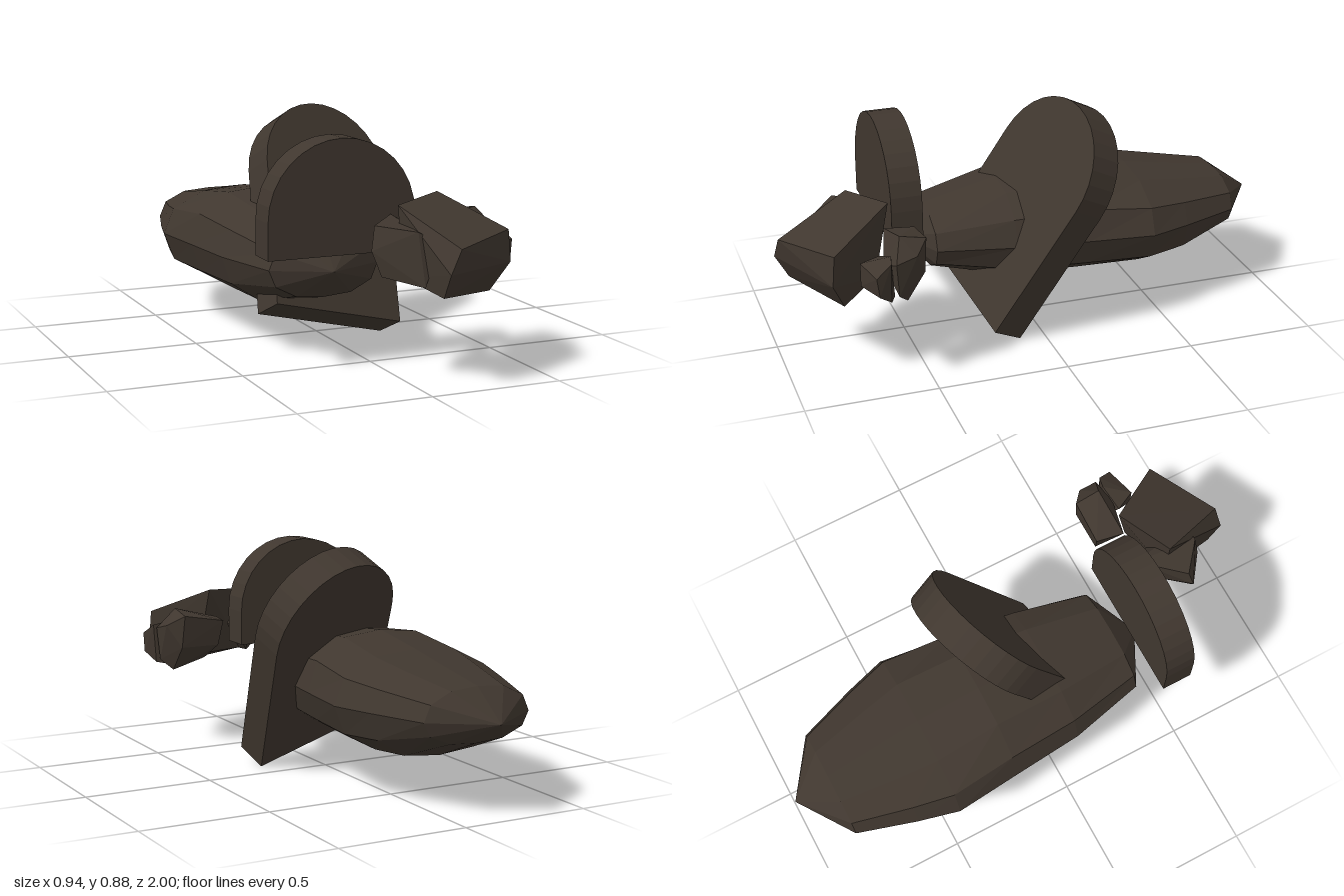
import * as THREE from 'three';
import { ConvexGeometry } from 'three/addons/geometries/ConvexGeometry.js';

const stone = new THREE.MeshStandardMaterial({ color: 0x40372f });
stone.name = 'dark brown stone';

function part(name, geometry) {
  const flat = geometry.index ? geometry.toNonIndexed() : geometry;
  flat.computeVertexNormals();
  const mesh = new THREE.Mesh(flat, stone);
  mesh.name = name;
  return mesh;
}

// Round-topped slab: bottom centre of the front face at the origin
function slabGeometry(radius, straight, depth) {
  const s = new THREE.Shape();
  s.moveTo(-radius, 0);
  s.lineTo(radius, 0);
  s.lineTo(radius, straight);
  s.absarc(0, straight, radius, 0, Math.PI, false);
  s.closePath();
  return new THREE.ExtrudeGeometry(s, { depth, bevelEnabled: false, curveSegments: 8 })
    .translate(0, 0, -depth);
}

// Long faceted mound lofted through cross-sections along z
function moundGeometry() {
  const midY = 0.345;
  // z, min x, max x, top y, bottom y
  const sections = [
    [0.49, -0.14, -0.14, midY, midY],
    [0.38, -0.35, 0.085, 0.46, 0.23],
    [0.08, -0.42, 0.15, 0.53, 0.155],
    [-0.2, -0.445, 0.185, 0.56, 0.15],
    [-0.46, -0.47, 0.215, 0.525, 0.15],
    [-0.62, -0.43, 0.165, 0.495, 0.158],
    [-0.85, -0.36, 0.08, 0.455, 0.25],
    [-1, -0.14, -0.14, midY, midY],
  ];
  const ring = [[1, 0], [0.88, 0.55], [0.5, 0.92], [0, 1], [-0.5, 0.92], [-0.88, 0.55],
    [-1, 0], [-0.88, -0.55], [-0.5, -0.92], [0, -1], [0.5, -0.92], [0.88, -0.55]];
  const n = ring.length, pos = [], idx = [];
  sections.forEach(([z, x0, x1, top, bottom], i) => {
    ring.forEach(([rx, ry], j) => {
      pos.push((x0 + x1) / 2 + rx * (x1 - x0) / 2,
        midY + ry * (ry > 0 ? top - midY : midY - bottom), z);
      if (i === sections.length - 1) return;
      const a = i * n + j, b = i * n + (j + 1) % n;
      idx.push(a, a + n, b + n, a, b + n, b);
    });
  });
  const g = new THREE.BufferGeometry();
  g.setAttribute('position', new THREE.Float32BufferAttribute(pos, 3));
  g.setIndex(idx);
  return g;
}

// Rough rock chunk from its corner points
function rock(name, corners) {
  return part(name, new ConvexGeometry(corners.map((c) => new THREE.Vector3(...c))));
}

export function createModel() {
  const model = new THREE.Group();
  model.name = 'graveStones';

  model.add(part('mound', moundGeometry()));

  // Upright half-round stone
  const upright = part('uprightStone', slabGeometry(0.285, 0.135, 0.12));
  upright.position.set(-0.143, 0.422, 0.57);
  model.add(upright);

  // Tilted slab leaning back through the mound
  const leaning = part('leaningStone', slabGeometry(0.2875, 0.58, 0.13));
  const across = new THREE.Vector3(0.55, -0.14, -0.09).normalize();
  const up = new THREE.Vector3(0.03, 0.06, 0.11).cross(across).normalize();
  const out = across.clone().cross(up);
  leaning.setRotationFromMatrix(new THREE.Matrix4().makeBasis(across, up, out));
  leaning.position.set(-0.01, 0.13, 0.255);
  model.add(leaning);

  // Broken rocks in front
  const rocks = new THREE.Group();
  rocks.name = 'rocks';
  rocks.add(
    rock('largeRock', [
      [0.005, 0.615, 0.71], [0.215, 0.635, 0.6], [0.295, 0.555, 0.76], [0.065, 0.54, 0.86],
      [0.11, 0.5, 0.99], [0.375, 0.525, 0.84], [0.38, 0.41, 0.85], [0.065, 0.415, 1],
      [0.325, 0.3, 0.8], [0.065, 0.325, 0.95], [0.24, 0.36, 0.66], [0.02, 0.36, 0.72],
    ]),
    rock('largeRockLobe', [
      [-0.12, 0.47, 0.76], [-0.1, 0.555, 0.74], [0.04, 0.56, 0.58], [-0.09, 0.38, 0.78],
      [0.03, 0.35, 0.88], [0.02, 0.54, 0.84], [0.1, 0.47, 0.61], [0.1, 0.5, 0.85],
      [0.02, 0.36, 0.66],
    ]),
    rock('smallRock', [
      [0.2, 0.52, 0.5], [0.37, 0.55, 0.5], [0.37, 0.57, 0.6], [0.18, 0.52, 0.61],
      [0.43, 0.51, 0.55], [0.44, 0.49, 0.63], [0.36, 0.46, 0.66], [0.22, 0.42, 0.51],
      [0.38, 0.42, 0.51], [0.39, 0.32, 0.58], [0.25, 0.36, 0.58], [0.43, 0.36, 0.62],
    ]),
    rock('smallRockLobe', [
      [0.4, 0.51, 0.64], [0.445, 0.5, 0.65], [0.465, 0.46, 0.71], [0.465, 0.385, 0.7],
      [0.435, 0.345, 0.65], [0.36, 0.33, 0.62], [0.34, 0.38, 0.74], [0.34, 0.47, 0.74],
      [0.3, 0.47, 0.66],
    ]),
  );
  model.add(rocks);
  return model;
}
